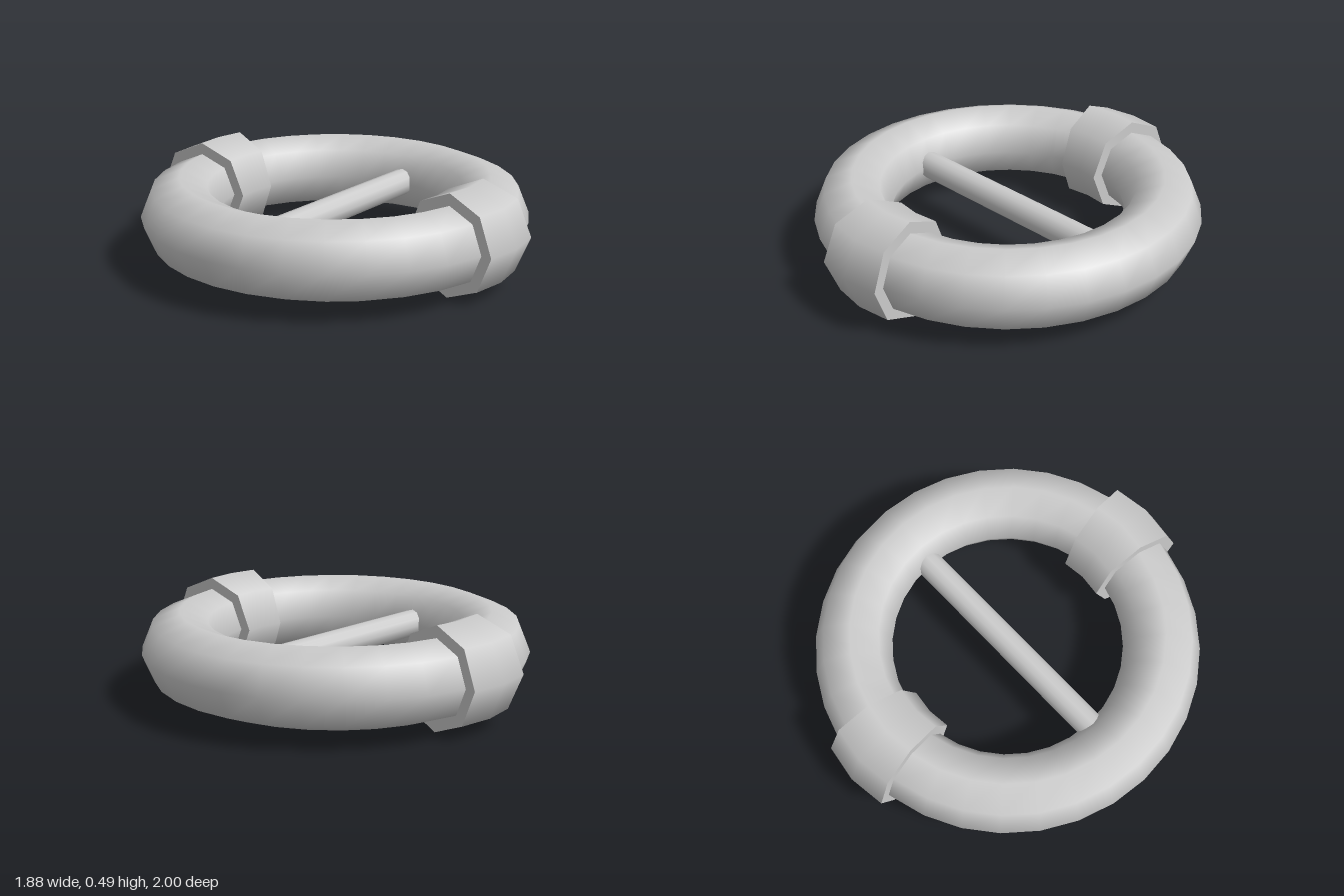
import * as THREE from 'three';

const MID_Y = 0.245;

// Octagonal sleeve around the ring, wider on its outer side and bent in the middle
function bandGeometry() {
  const geo = new THREE.CylinderGeometry(0.245, 0.245, 2, 8, 2);
  geo.rotateZ(Math.PI / 2);
  const p = geo.attributes.position;
  for (let i = 0; i < p.count; i++) {
    const side = Math.round(p.getX(i)); // -1, 0 or 1
    const dz = p.getZ(i);
    p.setX(i, side * (0.146 + 0.145 * dz));
    p.setZ(i, side === 0 ? 0.755 + dz : 0.7355 + dz * 0.973);
  }
  return geo;
}

export function createModel() {
  const group = new THREE.Group();
  const material = new THREE.MeshStandardMaterial({ color: 0xcccccc });

  const add = (name, geometry) => {
    const mesh = new THREE.Mesh(geometry, material);
    mesh.name = name;
    mesh.position.y = MID_Y;
    group.add(mesh);
    return mesh;
  };

  // Main ring, lying flat
  add('ring', new THREE.TorusGeometry(0.75, 0.1875, 8, 32).rotateX(Math.PI / 2));

  // Bar across the opening, its ends sunk into the ring
  add('crossBar', new THREE.CylinderGeometry(0.068, 0.068, 1.26, 12).rotateZ(Math.PI / 2));

  // Bands at the front and back
  const band = bandGeometry();
  add('frontBand', band);
  add('backBand', band).rotation.y = Math.PI;

  return group;
}
